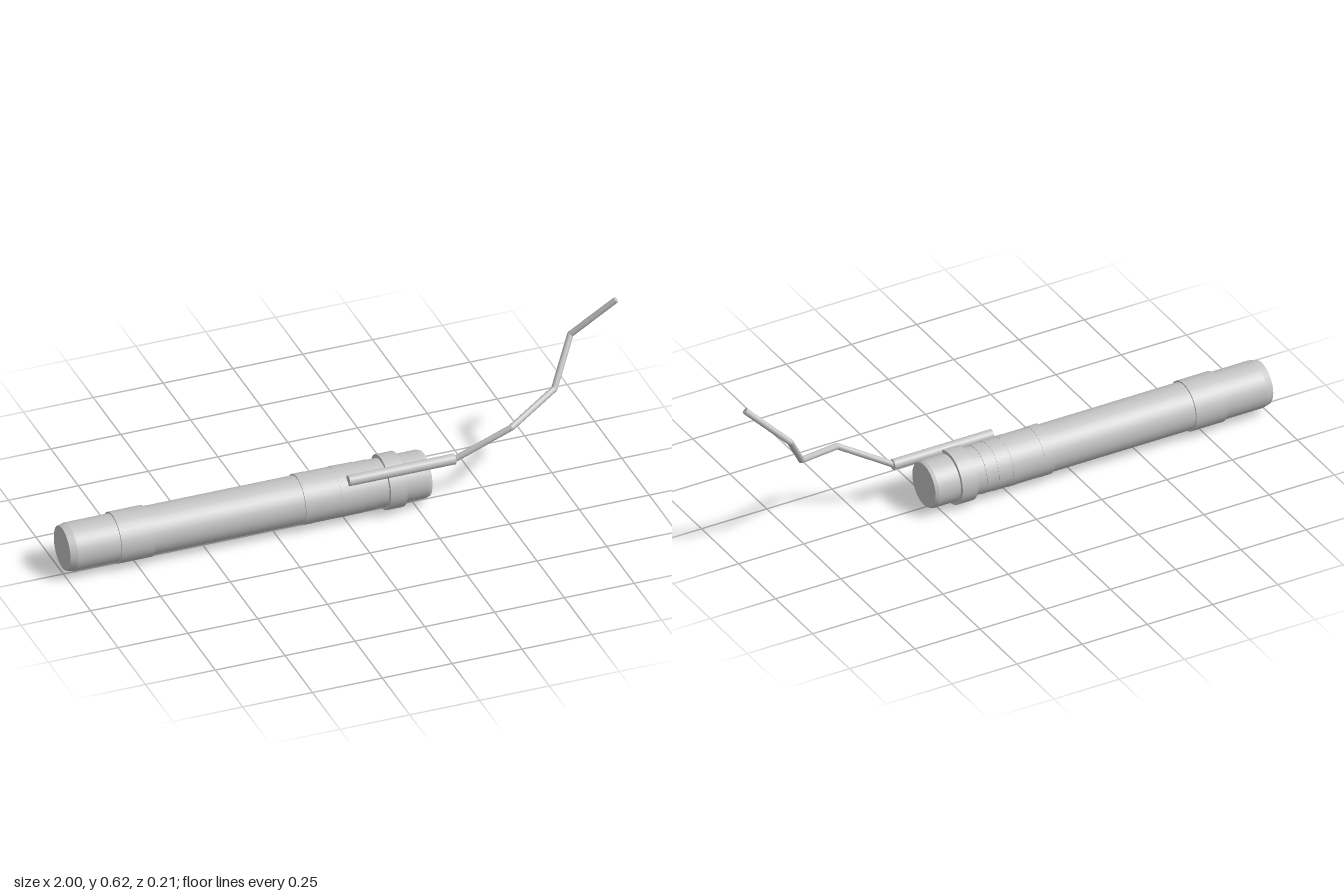
import * as THREE from 'three';

export function createModel() {
  const model = new THREE.Group();
  const grey = new THREE.MeshStandardMaterial({ color: 0xc4c4c4 });
  grey.name = 'light grey';

  const add = (name, geometry, parent = model) => {
    const mesh = new THREE.Mesh(geometry, grey);
    mesh.name = name;
    parent.add(mesh);
    return mesh;
  };

  // The stick lies along x: each profile is a list of [x, radius] corners
  const stick = new THREE.Group();
  stick.name = 'stick';
  stick.position.set(0, 0.097, -0.01);
  model.add(stick);

  const turned = (name, corners) => {
    // every segment gets its own lathe so that the edges stay sharp
    const part = new THREE.Group();
    part.name = name;
    stick.add(part);
    for (let i = 0; i < corners.length - 1; i++) {
      const profile = [corners[i], corners[i + 1]].map(([x, r]) => new THREE.Vector2(r, x));
      add(name + 'Face' + i, new THREE.LatheGeometry(profile, 32).rotateZ(-Math.PI / 2), part);
    }
  };
  const band = (name, x0, x1, r) => turned(name, [[x0, 0], [x0, r], [x1, r], [x1, 0]]);

  // Main tube with bevelled ends
  turned('body', [[-1, 0], [-1, 0.077], [-0.975, 0.083], [0.283, 0.083], [0.295, 0.079], [0.295, 0]]);

  // Wrapped bands
  band('rearBand', -0.82, -0.70, 0.0885);
  band('wrapEdge', -0.16, -0.12, 0.0875);
  band('wideWrap', -0.12, -0.03, 0.0865);
  band('middleWrap', -0.03, 0, 0.0875);
  band('narrowWrap', 0, 0.055, 0.0865);
  band('frontWrap', 0.055, 0.1, 0.085);
  band('frontRing', 0.14, 0.2, 0.0955);

  // Fuse holder strapped along the upper front side
  const holder = add('fuseHolder', new THREE.CylinderGeometry(0.019, 0.019, 0.38, 16).rotateZ(-Math.PI / 2));
  holder.position.set(0.19, 0.17, 0.052);

  // Bent fuse made of straight lengths
  const points = [
    [0.37, 0.165, 0.053], [0.567, 0.277, 0.097], [0.756, 0.332, 0.005],
    [0.847, 0.478, -0.079], [0.988, 0.614, -0.022],
  ].map((p) => new THREE.Vector3(...p));
  const fuse = new THREE.Group();
  fuse.name = 'fuse';
  model.add(fuse);
  const up = new THREE.Vector3(0, 1, 0);
  for (let i = 0; i < points.length - 1; i++) {
    const along = points[i + 1].clone().sub(points[i]);
    const length = along.length();
    const piece = add('fusePiece' + i, new THREE.CylinderGeometry(0.011, 0.011, length, 12), fuse);
    piece.position.copy(points[i]).addScaledVector(along, 0.5);
    piece.quaternion.setFromUnitVectors(up, along.normalize());
    if (i > 0) add('fuseBend' + i, new THREE.SphereGeometry(0.011, 12, 8), fuse).position.copy(points[i]);
  }

  return model;
}
